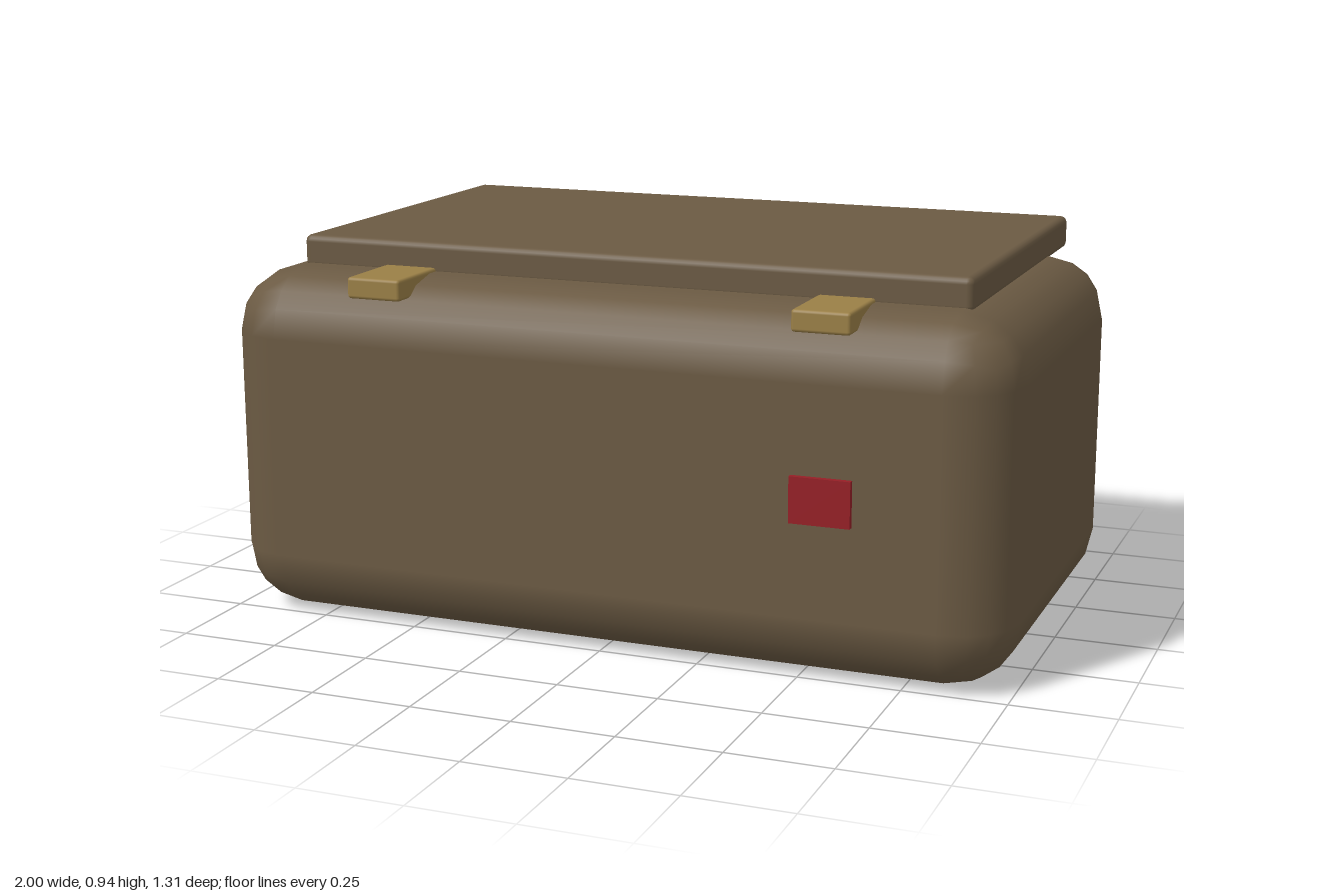
import * as THREE from 'three';
import { RoundedBoxGeometry } from 'three/addons/geometries/RoundedBoxGeometry.js';

export function createModel() {
  const model = new THREE.Group();
  model.name = 'chest';
  const material = (name, color) => {
    const m = new THREE.MeshStandardMaterial({ color });
    m.name = name;
    return m;
  };
  const brown = material('brown leather', 0x6b5a43);
  const brass = material('brass', 0x9a7f46);
  const red = material('red', 0x961f26);

  // Rounded block given by its minimum and maximum corners
  function block(name, min, max, radius, segments, mat) {
    const size = max.map((v, i) => v - min[i]);
    const mesh = new THREE.Mesh(new RoundedBoxGeometry(...size, segments, radius), mat);
    mesh.position.set(...max.map((v, i) => (v + min[i]) / 2));
    mesh.name = name;
    model.add(mesh);
  }

  // Soft body and the flat lid set towards the back
  block('body', [-1, 0, -0.595], [1, 0.872, 0.55], 0.16, 2, brown);
  block('lid', [-0.857, 0.858, -0.657], [0.857, 0.942, 0.357], 0.017, 2, brown);

  // Straps running front to back under the lid
  for (const side of [-1, 1]) {
    const x = side * 0.56;
    block(side < 0 ? 'rightStrap' : 'leftStrap',
      [x - 0.07, 0.828, -0.595], [x + 0.07, 0.88, 0.55], 0.008, 2, brass);
  }

  // Tag floating in front of the body
  const tag = new THREE.Mesh(new THREE.BoxGeometry(0.143, 0.108, 0.014), red);
  tag.position.set(0.597, 0.472, 0.65);
  tag.name = 'tag';
  model.add(tag);

  return model;
}
